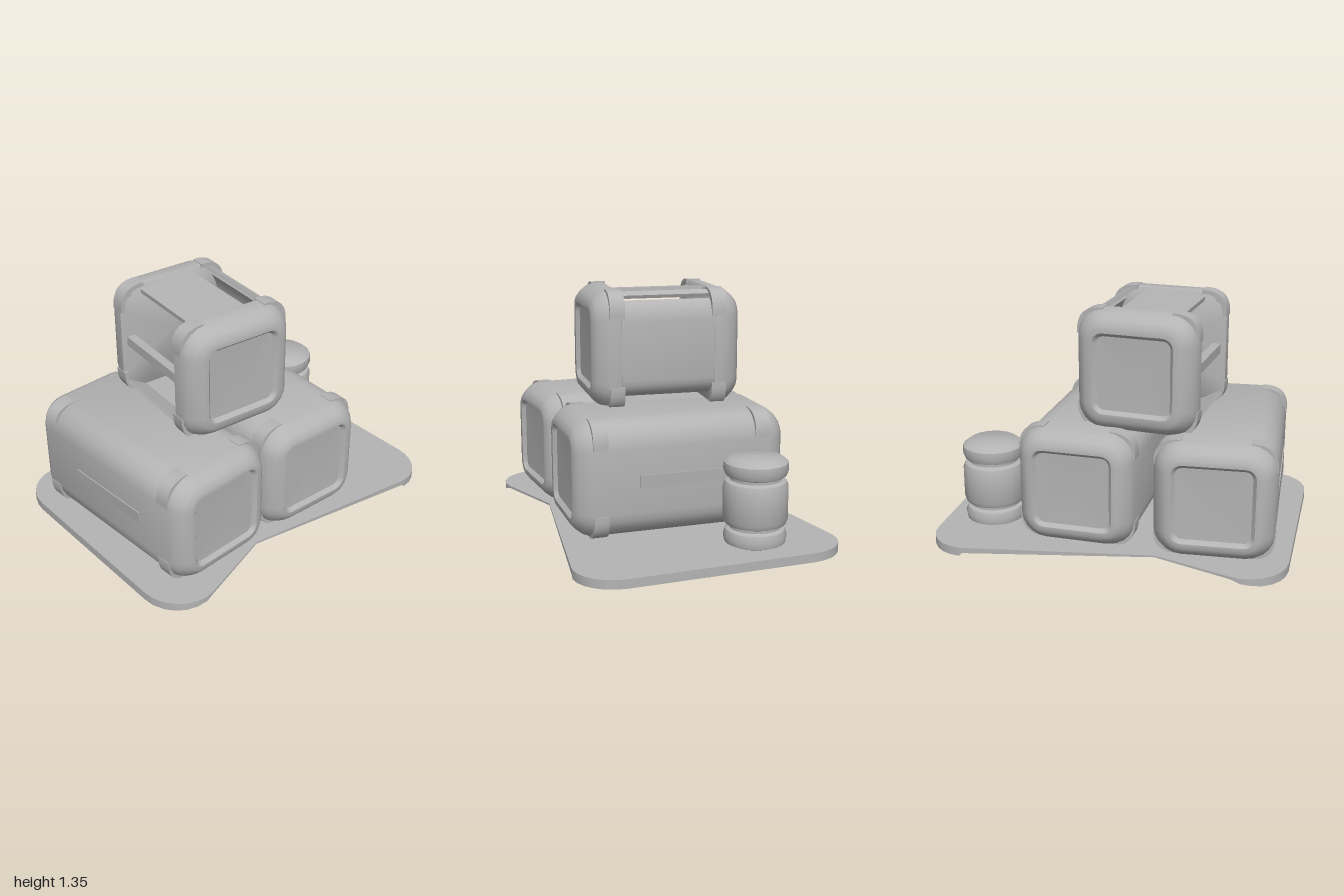
import * as THREE from 'three';
import { toCreasedNormals } from 'three/addons/utils/BufferGeometryUtils.js';

const grey = new THREE.MeshStandardMaterial({ color: 0xb4b4b4 });
grey.name = 'plain grey';

function add(parent, name, geometry, x = 0, y = 0, z = 0) {
  const mesh = new THREE.Mesh(geometry, grey);
  mesh.name = name;
  mesh.position.set(x, y, z);
  parent.add(mesh);
  return mesh;
}

function indexed(pos, index) {
  const g = new THREE.BufferGeometry();
  g.setAttribute('position', new THREE.Float32BufferAttribute(pos, 3));
  g.setIndex(index);
  return toCreasedNormals(g, 0.7);
}

// Skins rounded-square sections [x, half size, corner radius] along x
function loft(sections) {
  const steps = 5, ring = 4 * (steps + 1), pos = [], index = [];
  for (const [x, h, r] of sections) {
    for (let c = 0; c < 4; c++) {
      const mid = (c + 0.5) * Math.PI / 2;
      const cy = Math.sign(Math.cos(mid)) * (h - r), cz = Math.sign(Math.sin(mid)) * (h - r);
      for (let s = 0; s <= steps; s++) {
        const a = (c + s / steps) * Math.PI / 2;
        pos.push(x, cy + r * Math.cos(a), cz + r * Math.sin(a));
      }
    }
  }
  for (let i = 0; i < sections.length - 1; i++) {
    for (let j = 0; j < ring; j++) {
      const a = i * ring + j, b = i * ring + (j + 1) % ring;
      index.push(a, b, a + ring, b, b + ring, a + ring);
    }
  }
  return indexed(pos, index);
}

// Recessed end panel, raised rim and rounded shoulder, from the outside inwards
const endSections = (L, h) => [
  [-L + 0.03, 0, 0], [-L + 0.022, 0.205, 0.04], [-L, 0.225, 0.06], [-L, h - 0.075, 0.09],
  [-L + 0.025, h - 0.043, 0.12], [-L + 0.06, h - 0.016, 0.14], [-L + 0.1, h, 0.15],
];

// Extrudes a (z, y) outline along x, centred
function extrudeX(shape, width) {
  const g = new THREE.ExtrudeGeometry(shape, { depth: width, bevelEnabled: false, curveSegments: 5 });
  g.translate(0, 0, -width / 2);
  g.rotateY(-Math.PI / 2);
  return toCreasedNormals(g, 0.7);
}

// Brackets wrapping the four long edges near both ends
function addBrackets(crate, x, h) {
  const o = h + 0.007, i = h - 0.02, end = h - 0.145, bend = h - 0.03;
  const s = new THREE.Shape();
  s.moveTo(i, end);
  s.lineTo(o - 0.004, end);
  s.quadraticCurveTo(o, h - 0.07, bend, bend);
  s.quadraticCurveTo(h - 0.07, o, end, o - 0.004);
  s.lineTo(end, i);
  s.quadraticCurveTo(h - 0.06, i, h - 0.06, h - 0.06);
  s.quadraticCurveTo(i, h - 0.06, i, end);
  const g = extrudeX(s, 0.085);
  for (const sx of [-1, 1]) {
    for (let k = 0; k < 4; k++) {
      add(crate, 'edgeBracket', g, sx * x).rotation.x = k * Math.PI / 2;
    }
  }
}

function closedCrate(name, L) {
  const crate = new THREE.Group(), h = 0.328;
  crate.name = name;
  const left = endSections(L, h);
  const right = left.map(([x, half, r]) => [-x, half, r]).reverse();
  add(crate, 'crateBody', loft([...left, ...right]));
  // shallow ledge along the long side
  const ledge = new THREE.Shape();
  ledge.moveTo(h - 0.01, -0.045);
  ledge.lineTo(h + 0.001, -0.045);
  ledge.lineTo(h + 0.006, 0.03);
  ledge.lineTo(h - 0.01, 0.03);
  add(crate, 'sideLedge', extrudeX(ledge, 0.53), 0.02);
  addBrackets(crate, L - 0.14, h);
  return crate;
}

function openCrate(name) {
  const crate = new THREE.Group(), h = 0.337;
  crate.name = name;
  const frame = loft([...endSections(0.425, h), [-0.27, h, 0.15], [-0.255, h - 0.02, 0.13], [-0.255, 0, 0]]);
  add(crate, 'endFrame', frame);
  add(crate, 'endFrame', frame).rotation.y = Math.PI;
  // rounded back wall
  const wall = new THREE.Shape();
  wall.moveTo(-0.25, -0.26);
  wall.quadraticCurveTo(-0.328, -0.24, -0.335, -0.16);
  wall.lineTo(-0.335, 0.17);
  wall.quadraticCurveTo(-0.328, 0.25, -0.28, 0.285);
  wall.lineTo(-0.26, 0.26);
  wall.quadraticCurveTo(-0.29, 0.22, -0.3, 0.16);
  wall.lineTo(-0.3, -0.16);
  wall.quadraticCurveTo(-0.29, -0.21, -0.24, -0.23);
  add(crate, 'backWall', extrudeX(wall, 0.54));
  // top panel, floor and rails between the frames
  const slab = (part, height, depth, y, z, tilt = 0) => {
    add(crate, part, new THREE.BoxGeometry(0.54, height, depth), 0, y, z).rotation.x = tilt;
  };
  slab('topPanel', 0.025, 0.32, 0.305, 0.05, 0.1);
  slab('backTopRail', 0.02, 0.05, 0.31, -0.24, -0.4);
  slab('floorPanel', 0.025, 0.43, -0.32, 0.02);
  slab('frontLip', 0.02, 0.13, -0.288, 0.26, -0.5);
  slab('middleRail', 0.055, 0.05, 0.005, 0.285);
  addBrackets(crate, 0.293, h);
  return crate;
}

// Base: waisted plate, thick at the front and back, thin at the waist
function addBase(group) {
  const top = 0.05, side = []; // x, z, underside height
  for (let i = 0; i <= 6; i++) {
    const a = i / 6 * Math.PI / 2;
    side.push([0.51 + 0.23 * Math.sin(a), -0.79 - 0.21 * Math.cos(a), 0]);
  }
  side.push([0.74, -0.77, 0.018], [0.585, 0.28, 0.04], [0.73, 0.72, 0.035]);
  for (let i = 0; i <= 6; i++) {
    const a = i / 6 * Math.PI / 2;
    side.push([0.5 + 0.24 * Math.cos(a), 0.77 + 0.23 * Math.sin(a), 0.02 * (1 - Math.sin(a)) ** 2]);
  }
  // four corners per section: top left, top right, bottom right, bottom left
  const pos = [], index = [];
  for (const [x, z, b] of side) pos.push(-x, top, z, x, top, z, x, b, z, -x, b, z);
  for (let i = 0; i < side.length - 1; i++) {
    for (let k = 0; k < 4; k++) {
      const a = 4 * i + k, b = 4 * i + (k + 1) % 4;
      index.push(a, a + 4, b, b, a + 4, b + 4);
    }
  }
  const e = 4 * (side.length - 1);
  index.push(0, 1, 2, 0, 2, 3, e, e + 2, e + 1, e, e + 3, e + 2);
  add(group, 'basePlate', indexed(pos, index));
}

export function createModel() {
  const model = new THREE.Group();
  model.name = 'crateStack';
  addBase(model);

  const front = closedCrate('frontCrate', 0.615);
  front.position.set(0.005, 0.377, 0.562);
  front.rotation.y = 0.055;
  const back = closedCrate('backCrate', 0.602);
  back.position.set(0.013, 0.377, -0.16);
  back.rotation.y = Math.PI - 0.035;
  const upper = openCrate('openCrate');
  upper.position.set(-0.04, 1.013, 0.165);
  upper.rotation.y = -0.095;
  model.add(front, back, upper);

  // small canister
  const profile = [
    [0, 0], [0.13, 0], [0.165, 0.015], [0.172, 0.05], [0.16, 0.085], [0.14, 0.095], [0.14, 0.11],
    [0.165, 0.12], [0.176, 0.145], [0.176, 0.32], [0.165, 0.35], [0.14, 0.36], [0.14, 0.375],
    [0.163, 0.385], [0.176, 0.42], [0.172, 0.455], [0.14, 0.48], [0, 0.485],
  ].map(([r, y]) => new THREE.Vector2(r, y));
  add(model, 'canister', toCreasedNormals(new THREE.LatheGeometry(profile, 20), 0.7), -0.29, 0.048, -0.732);
  return model;
}
